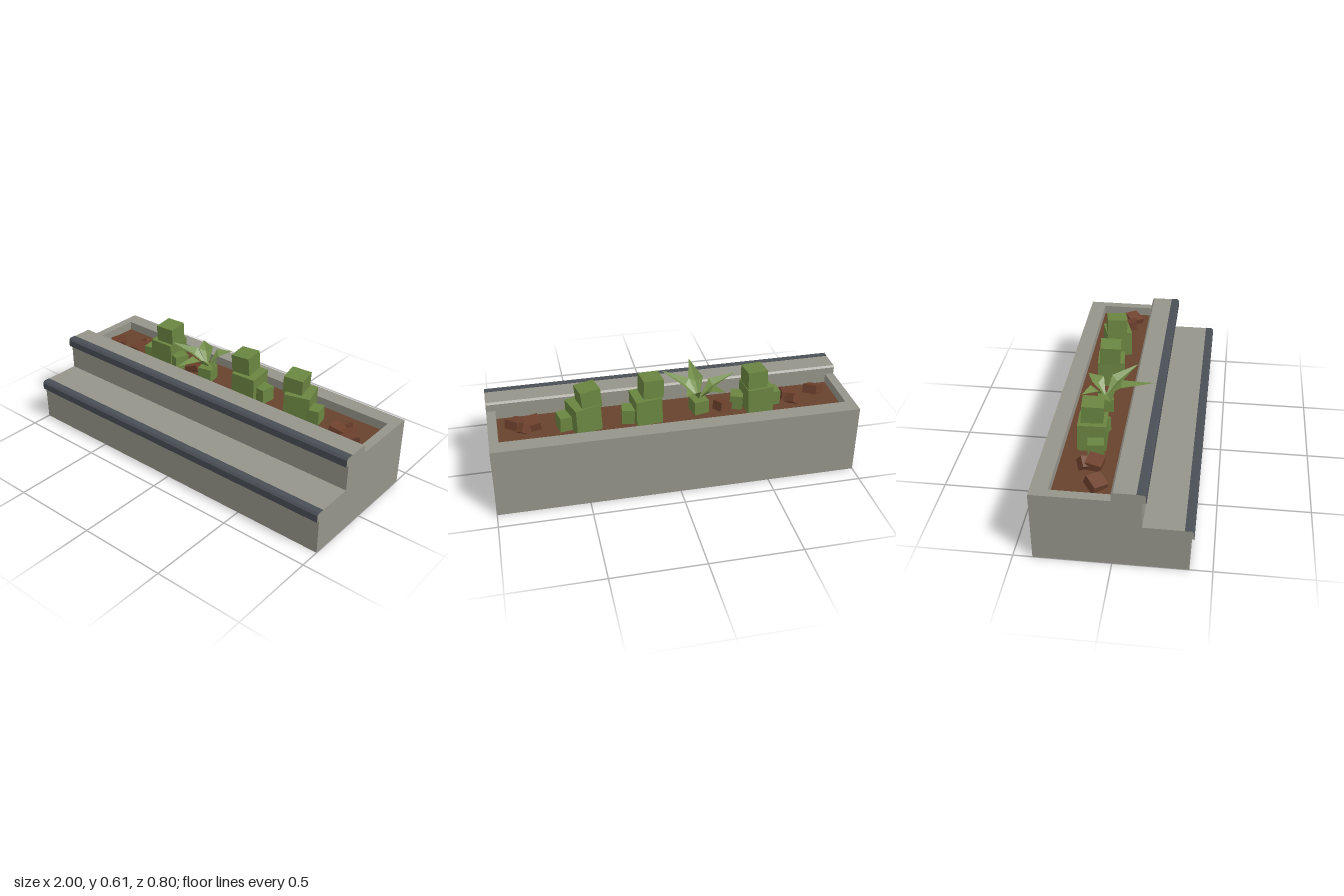
import * as THREE from 'three';

const mat = (name, color, extra = {}) => {
  const m = new THREE.MeshStandardMaterial({ color, ...extra });
  m.name = name;
  return m;
};

export function createModel() {
  const concrete = mat('concrete', 0x96948a);
  const trim = mat('dark edge trim', 0x4a4e56);
  const soilMat = mat('soil', 0x68432c);
  const clodMat = mat('clod brown', 0x6e412d);
  const green = mat('plant green', 0x6a8541);
  const leafGreen = mat('leaf green', 0x728e48, { side: THREE.DoubleSide });

  const root = new THREE.Group();
  root.name = 'steppedPlanter';
  const add = (parent, name, geo, material) => {
    const mesh = new THREE.Mesh(geo, material);
    mesh.name = name;
    parent.add(mesh);
    return mesh;
  };
  const shapeOf = pts => new THREE.Shape(pts.map(p => new THREE.Vector2(...p)));
  // Sweep a (z, y) profile across the full width
  const sweep = pts => new THREE.ExtrudeGeometry(shapeOf(pts), { depth: 2, bevelEnabled: false })
    .rotateY(-Math.PI / 2).translate(1, 0, 0);

  // Stepped body with overhanging, chamfered nosings
  add(root, 'steppedBody', sweep([
    [-0.4, 0], [0.384, 0], [0.384, 0.2], [0.4, 0.2], [0.4, 0.24], [0.39, 0.25],
    [0.15, 0.25], [0.15, 0.4], [0.168, 0.4], [0.168, 0.44], [0.158, 0.45],
    [0.01, 0.45], [0, 0.44], [0, 0.345], [-0.4, 0.345],
  ]), concrete);

  // U-shaped rim around the planting bed
  const rim = shapeOf([[-1, 0], [-0.95, 0], [-0.95, 0.31], [0.95, 0.31],
    [0.95, 0], [1, 0], [1, 0.4], [-1, 0.4]]);
  add(root, 'planterRim', new THREE.ExtrudeGeometry(rim, { depth: 0.055, bevelEnabled: false })
    .rotateX(-Math.PI / 2).translate(0, 0.345, 0), concrete);

  // Thin dark strips wrapping each nosing
  const t = 0.002;
  for (const [name, z, y] of [['lowerStepTrim', 0.4, 0.25], ['upperStepTrim', 0.168, 0.45]]) {
    add(root, name, sweep([
      [z, y - 0.05], [z + t, y - 0.05], [z + t, y - 0.01], [z - 0.01, y + t], [z - 0.045, y + t],
      [z - 0.045, y], [z - 0.01, y], [z, y - 0.01],
    ]), trim);
  }

  // Soil bed
  add(root, 'soil', new THREE.PlaneGeometry(1.9, 0.31).rotateX(-Math.PI / 2)
    .translate(0, 0.348, -0.155), soilMat);

  // Tilted block: size, centre, rotation
  const block = (parent, name, s, p, r, material) => {
    const m = add(parent, name, new THREE.BoxGeometry(...s), material);
    m.position.set(...p);
    m.rotation.set(...r);
  };

  // Blocky shrubs: x, z, base yaw, head offset and tilt, side shoots [dx, dz, yaw]
  const shrubs = [
    [-0.478, -0.165, 0.06, 0.016, 0.54, -0.01, [[-0.1, 0.03, 0.12], [0.105, 0.025, -0.35]]],
    [0.145, -0.155, 0.1, -0.028, 0.55, 0.03, [[0.1, -0.005, -0.15]]],
    [0.488, -0.165, 0.3, -0.028, 0.535, -0.08, [[0.105, 0.005, 0.2]]],
  ];
  for (const [x, z, yaw, hx, hy, tilt, shoots] of shrubs) {
    const g = new THREE.Group();
    g.name = 'blockShrub';
    block(g, 'shrubBase', [0.145, 0.155, 0.15], [x, 0.418, z], [0.02, yaw, -0.03], green);
    block(g, 'shrubHead', [0.112, 0.105, 0.115], [x + hx, hy, z], [0.05, yaw / 2 + 0.05, tilt], green);
    for (const [dx, dz, sy] of shoots)
      block(g, 'shrubShoot', [0.07, 0.085, 0.085], [x + dx, 0.388, z + dz], [0, sy, 0.03], green);
    root.add(g);
  }

  // Star plant: block stem and folded pointed leaves
  const star = new THREE.Group();
  star.name = 'starPlant';
  block(star, 'starStem', [0.085, 0.08, 0.085], [-0.155, 0.386, -0.145], [0, 0.2, 0], green);
  const core = new THREE.Vector3(-0.155, 0.425, -0.145);
  const tips = [[-0.28, 0.51, -0.255], [-0.06, 0.512, -0.255], [0.025, 0.535, 0.015],
    [-0.157, 0.533, 0.12], [-0.375, 0.533, -0.085]];
  for (const tip of tips) {
    const end = new THREE.Vector3(...tip);
    const dir = end.clone().sub(core).setY(0);
    const len = dir.length();
    dir.normalize();
    const side = new THREE.Vector3(-dir.z, 0, dir.x);
    const at = (d, w, y) => core.clone().addScaledVector(dir, d).addScaledVector(side, w).setY(y);
    const mid = Math.min(0.085, len * 0.42);
    const L = at(mid, -0.042, 0.51), R = at(mid, 0.042, 0.51), K = at(mid, 0, 0.487);
    const faces = [core, K, L, core, R, K, K, end, L, K, R, end];
    const geo = new THREE.BufferGeometry().setFromPoints(faces);
    geo.computeVertexNormals();
    add(star, 'starLeaf', geo, leafGreen);
  }
  root.add(star);

  // Loose soil clods: x, z, size, yaw, tilt
  const clods = [[-0.84, -0.095, 0.085, 0.75, 0.2], [-0.68, -0.125, 0.085, -0.15, 0.15],
    [-0.69, -0.175, 0.06, 0.6, 0.4], [-0.285, -0.165, 0.075, 0.4, 0.2],
    [0.765, -0.125, 0.085, 0.1, -0.15], [0.845, -0.11, 0.09, 0.75, 0.15], [0.815, -0.165, 0.06, 0.7, 0.4]];
  for (const [x, z, s, yaw, tilt] of clods)
    block(root, 'soilClod', [s, 0.05, s], [x, 0.373, z], [tilt, yaw, tilt], clodMat);

  return root;
}
